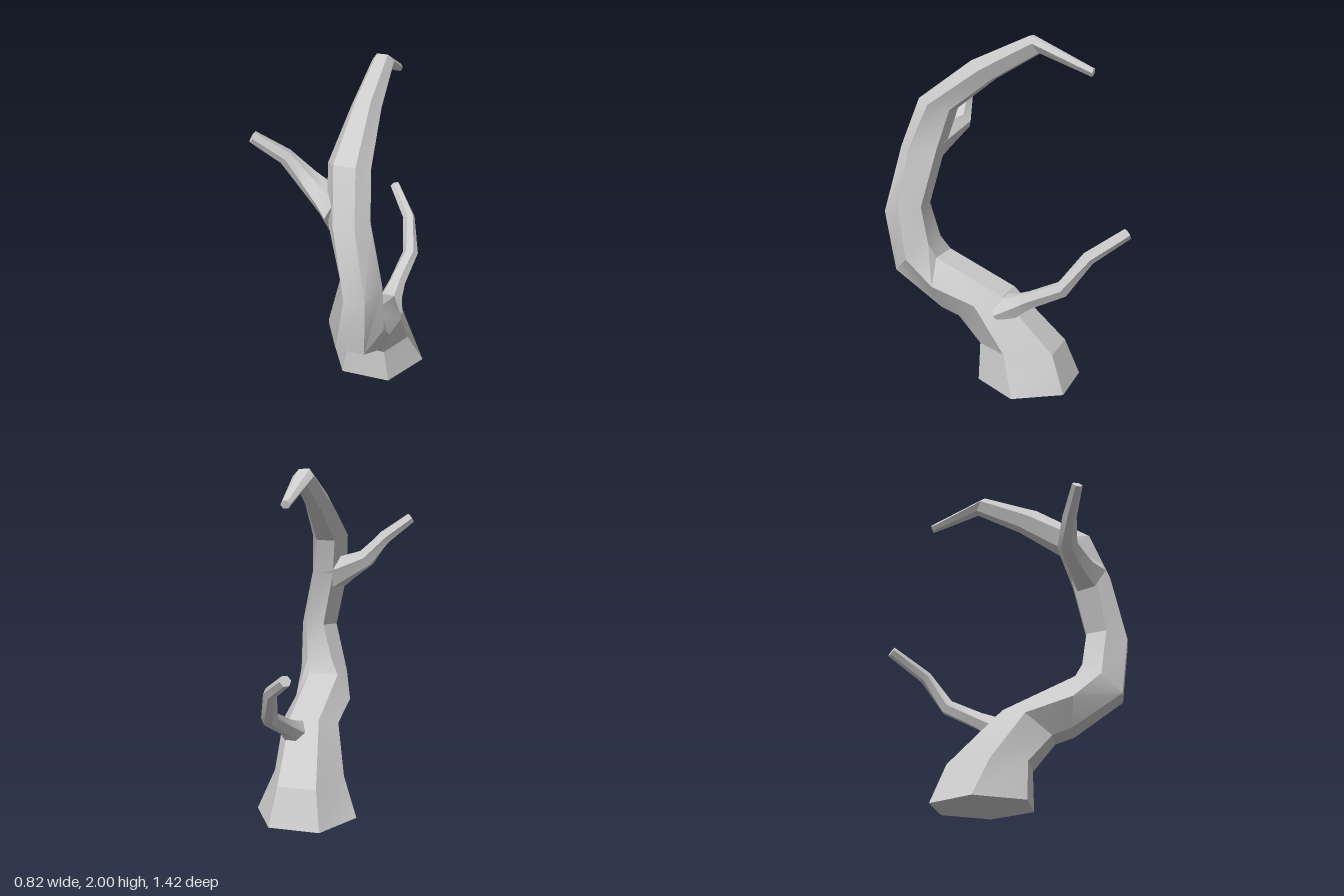
import * as THREE from 'three';
import { toCreasedNormals } from 'three/addons/utils/BufferGeometryUtils.js';

const SIDES = 6;

// Skin a list of six-point rings and close both ends
function loft(rings, crease) {
  const pos = [];
  const tri = (a, b, c) => { for (const p of [a, b, c]) pos.push(p.x, p.y, p.z); };
  for (let i = 0; i < rings.length - 1; i++) {
    for (let j = 0; j < SIDES; j++) {
      const k = (j + 1) % SIDES;
      tri(rings[i][j], rings[i][k], rings[i + 1][k]);
      tri(rings[i][j], rings[i + 1][k], rings[i + 1][j]);
    }
  }
  const first = rings[0], last = rings[rings.length - 1];
  for (let j = 1; j < SIDES - 1; j++) {
    tri(first[0], first[j + 1], first[j]);
    tri(last[0], last[j], last[j + 1]);
  }
  const geo = new THREE.BufferGeometry();
  geo.setAttribute('position', new THREE.Float32BufferAttribute(pos, 3));
  return toCreasedNormals(geo, crease);
}

// Trunk ring: outer edge, inner edge and the wide corners halfway between
function trunkRing([cx, wide, narrow, outerY, outerZ, midY, midZ, innerY, innerZ]) {
  const v = (x, y, z) => new THREE.Vector3(cx + x, y, z);
  return [
    v(-narrow, outerY, outerZ), v(narrow, outerY, outerZ), v(wide, midY, midZ),
    v(narrow, innerY, innerZ), v(-narrow, innerY, innerZ), v(-wide, midY, midZ),
  ];
}

// Branch rings: hexagons square to the path, each point being x, y, z, radius
function branchRings(path) {
  const pts = path.map(([x, y, z]) => new THREE.Vector3(x, y, z));
  const up = new THREE.Vector3(0, 1, 0);
  return pts.map((p, i) => {
    const before = pts[Math.max(i - 1, 0)], after = pts[Math.min(i + 1, pts.length - 1)];
    const t = after.clone().sub(before).normalize();
    const u = up.clone().cross(t).normalize();
    const w = t.clone().cross(u);
    return Array.from({ length: SIDES }, (_, j) => {
      const a = (j / SIDES) * Math.PI * 2;
      return p.clone()
        .addScaledVector(u, Math.cos(a) * path[i][3])
        .addScaledVector(w, Math.sin(a) * path[i][3]);
    });
  });
}

export function createModel() {
  const group = new THREE.Group();
  group.name = 'bareTree';
  const bark = new THREE.MeshStandardMaterial({ color: 0xcccccc });
  const add = (name, geo) => {
    const mesh = new THREE.Mesh(geo, bark);
    mesh.name = name;
    group.add(mesh);
  };

  // Trunk: flared foot, lean to the front, then an arch over to the back
  const trunk = [
    [0.11, 0.305, 0.15, 0, 0.13, 0, -0.14, 0, -0.40],
    [0.115, 0.215, 0.115, 0.22, 0.13, 0.22, -0.06, 0.22, -0.32],
    [0.155, 0.175, 0.09, 0.38, 0.26, 0.49, 0.12, 0.54, -0.02],
    [0.15, 0.18, 0.095, 0.415, 0.37, 0.57, 0.39, 0.72, 0.40],
    [0.185, 0.155, 0.08, 0.62, 0.66, 0.72, 0.55, 0.81, 0.44],
    [0.225, 0.115, 0.057, 0.98, 0.71, 1.02, 0.59, 1.03, 0.47],
    [0.145, 0.115, 0.057, 1.36, 0.63, 1.36, 0.55, 1.36, 0.40],
    [0.115, 0.113, 0.057, 1.64, 0.52, 1.61, 0.44, 1.58, 0.33],
    [0.11, 0.08, 0.04, 1.86, 0.20, 1.81, 0.14, 1.76, 0.08],
    [0.11, 0.06, 0.03, 2.0, -0.14, 1.96, -0.16, 1.91, -0.19],
    [0.11, 0.027, 0.014, 1.835, -0.49, 1.815, -0.487, 1.795, -0.48],
  ];
  add('trunk', loft(trunk.map(trunkRing), 0.4));

  // Side branch high on the trunk
  add('upperBranch', loft(branchRings([
    [0.09, 1.38, 0.50, 0.12],
    [0.01, 1.405, 0.46, 0.085],
    [-0.13, 1.475, 0.395, 0.06],
    [-0.235, 1.6, 0.42, 0.043],
    [-0.385, 1.715, 0.48, 0.032],
  ]), 0.7));

  // Long branch reaching out behind
  add('lowerBranch', loft(branchRings([
    [0.2, 0.44, 0.0, 0.11],
    [0.21, 0.485, -0.09, 0.068],
    [0.22, 0.535, -0.18, 0.052],
    [0.25, 0.64, -0.38, 0.048],
    [0.2, 0.82, -0.51, 0.038],
    [0.055, 0.94, -0.69, 0.032],
  ]), 0.7));

  return group;
}
